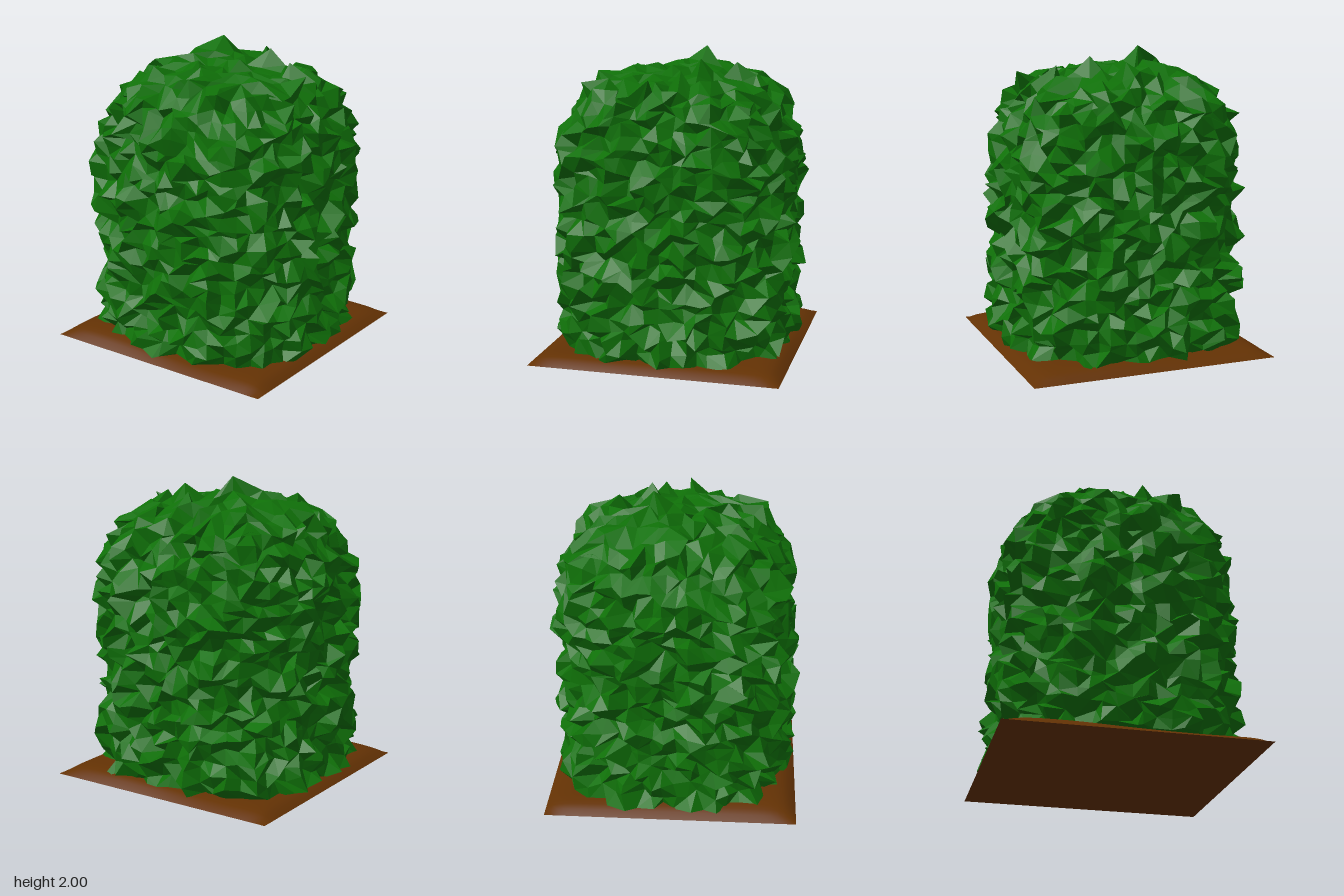
import * as THREE from 'three';
import { mergeVertices } from 'three/addons/utils/BufferGeometryUtils.js';

// Seeded random number in -1..1
function makeRandom(seed) {
  return () => {
    seed = (seed * 16807) % 2147483647;
    return (seed / 2147483647) * 2 - 1;
  };
}

// Box grid with shared vertices and quads split along either diagonal
function gridBox(nx, ny, nz, random) {
  const box = new THREE.BoxGeometry(2, 2, 2, nx, ny, nz);
  box.deleteAttribute('normal');
  box.deleteAttribute('uv');
  const geo = mergeVertices(box, 1e-4);
  const index = geo.index.array;
  for (let q = 0; q < index.length; q += 6) {
    if (random() > 0) continue;
    const [a, b, d, , c] = index.slice(q, q + 6);
    index.set([a, b, c, a, c, d], q);
  }
  return geo;
}

// Clipped bush: box grid wrapped over a domed profile, then roughened
function makeFoliage() {
  const random = makeRandom(90210);
  const profile = new THREE.SplineCurve([
    [0, 1.85], [0.3, 1.835], [0.5, 1.775], [0.62, 1.69], [0.695, 1.55],
    [0.74, 1.36], [0.75, 1.1], [0.75, 0.5], [0.75, 0.055],
  ].map(([r, y]) => new THREE.Vector2(r, y)));
  const domeShare = 0.29; // part of the profile covered by the top of the grid
  const power = 3;        // plan is a softly rounded square

  const geo = gridBox(15, 23, 15, random);
  const pos = geo.attributes.position;
  const v = new THREE.Vector3();
  for (let i = 0; i < pos.count; i++) {
    v.fromBufferAttribute(pos, i);
    const m = Math.max(Math.abs(v.x), Math.abs(v.z));
    const onSide = m > 0.999;
    const floor = v.y < -0.999;
    const u = onSide ? domeShare + (1 - domeShare) * (1 - v.y) / 2 : domeShare * m;
    const p = profile.getPointAt(Math.min(u, 1));
    const r = floor ? 0.75 * m : p.x;
    const a = Math.tan(v.x / m * Math.PI / 4);
    const b = Math.tan(v.z / m * Math.PI / 4);
    const len = Math.pow(Math.abs(a) ** power + Math.abs(b) ** power, 1 / power);
    const rough = floor && !onSide ? 0 : 1;
    const out = 1 + rough * random() * 0.09;
    const x = a / len * r * out + rough * random() * 0.022;
    const z = b / len * r * out + rough * random() * 0.022;
    const lift = rough * random() * (floor ? 0.02 : onSide ? 0.032 : 0.045);
    // Off-centre ridge on the crown
    const ridge = p.y > 1.6 ? 0.06 * Math.exp(-(((x + 0.13) / 0.14) ** 2) - ((z + 0.15) / 0.25) ** 2) : 0;
    pos.setXYZ(i, x, (floor ? 0.05 : p.y + ridge) + lift, z);
  }

  // Taller sprigs on the crown and shoulders
  const sprigs = [
    [-0.13, 2, -0.14], [-0.3, 1.91, -0.05], [0.22, 1.94, -0.18], [0.05, 1.91, -0.38],
    [0.64, 1.84, 0.05], [-0.53, 1.83, 0.1], [0.1, 1.84, 0.55], [0.42, 1.88, -0.1],
  ];
  for (const [x, y, z] of sprigs) {
    let best = 0, bestD = Infinity;
    for (let i = 0; i < pos.count; i++) {
      const d = Math.hypot(pos.getX(i) - x, pos.getY(i) - y, pos.getZ(i) - z);
      if (d < bestD) { bestD = d; best = i; }
    }
    pos.setXYZ(best, x, y, z);
  }
  const flat = geo.toNonIndexed();
  flat.computeVertexNormals();
  return flat;
}

const half = 0.82; // half width of the soil bed

// Square soil bed: top swelling up quickly from a thin edge
function makeSoil() {
  const bed = new THREE.PlaneGeometry(2 * half, 2 * half, 40, 40).rotateX(-Math.PI / 2);
  const pos = bed.attributes.position;
  for (let i = 0; i < pos.count; i++) {
    const x = pos.getX(i), z = pos.getZ(i);
    const swell = (1 - Math.abs(x / half) ** 14) * (1 - Math.abs(z / half) ** 14);
    const wave = 0.06 + 0.014 * Math.sin(4 * x + 3.4) * Math.cos(2 * z - 1);
    pos.setY(i, swell * wave);
  }
  bed.computeVertexNormals();
  return bed;
}

export function createModel() {
  const group = new THREE.Group();
  group.name = 'bush';
  const add = (name, geometry, material) => {
    const mesh = new THREE.Mesh(geometry, material);
    mesh.name = name;
    group.add(mesh);
  };
  const leafMaterial = new THREE.MeshStandardMaterial({ color: 0x0f7008, flatShading: true });
  const soilMaterial = new THREE.MeshStandardMaterial({ color: 0x643204 });

  add('foliage', makeFoliage(), leafMaterial);
  add('soilTop', makeSoil(), soilMaterial);
  add('soilUnderside', new THREE.PlaneGeometry(2 * half, 2 * half).rotateX(Math.PI / 2), soilMaterial);
  return group;
}
